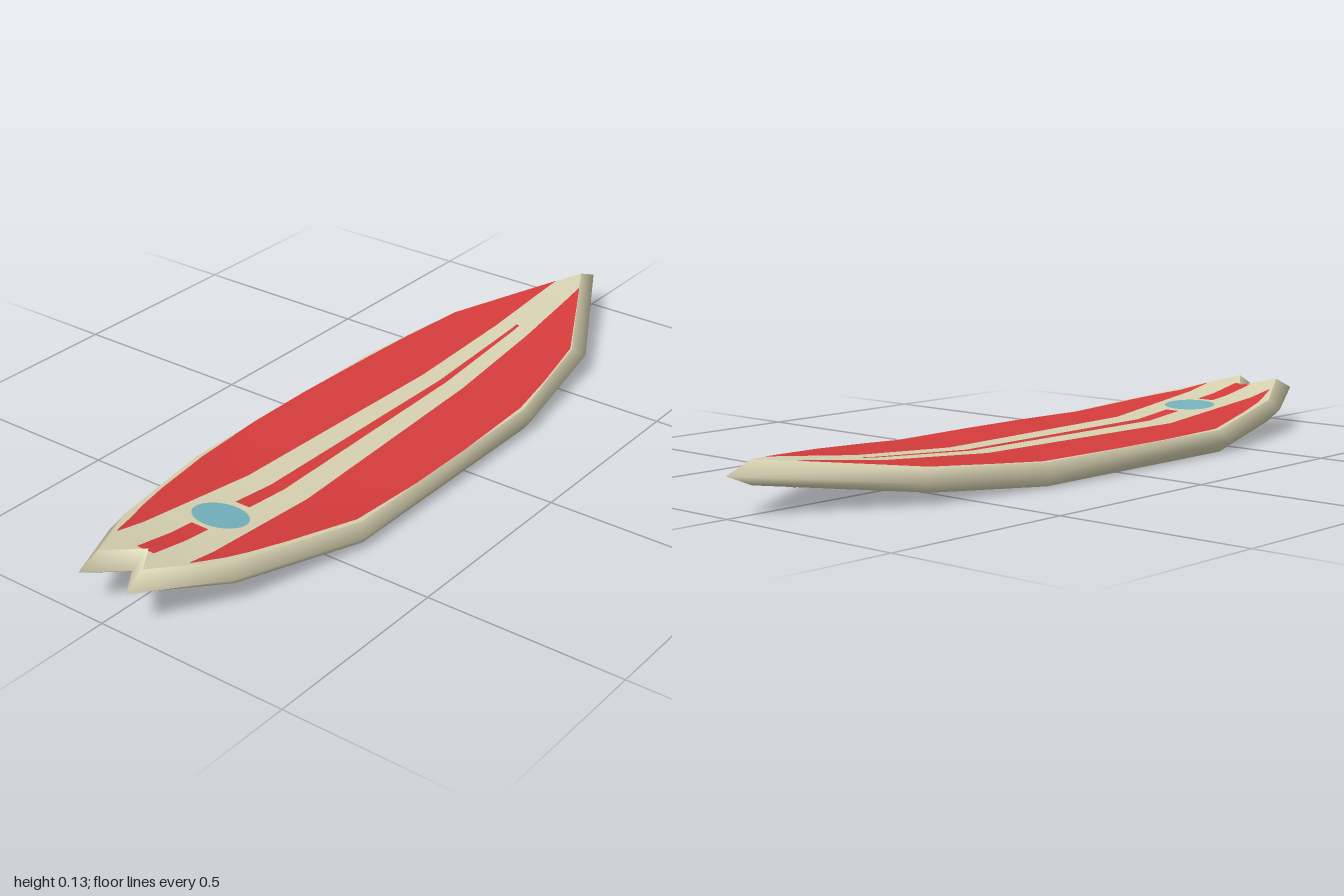
import * as THREE from 'three';

const THICKNESS = 0.057;

// Half outlines [x, z], nose to tail notch: widest rail line and deck edge
const RAIL = [[0, -1], [0.21, -0.62], [0.27, -0.27], [0.27, 0.43], [0.18, 0.78], [0.07, 0.99], [0, 0.9]];
const EDGE = [[0, -0.93], [0.19, -0.58], [0.25, -0.26], [0.25, 0.41], [0.163, 0.75], [0.063, 0.93], [0, 0.845]];

// Piecewise linear curve through [z, value] points
function curve(points) {
  return (z) => {
    if (z <= points[0][0]) return points[0][1];
    for (let i = 1; i < points.length; i++) {
      const [z0, v0] = points[i - 1], [z1, v1] = points[i];
      if (z <= z1) return v0 + (v1 - v0) * (z - z0) / (z1 - z0);
    }
    return points[points.length - 1][1];
  };
}

const rocker = curve([[-0.93, 0.063], [-0.58, 0.022], [-0.26, 0], [0.41, 0], [0.75, 0.035], [0.93, 0.068]]);
const deckEdge = curve(EDGE.slice(0, 6).map(([x, z]) => [z, x]));
const notchEdge = curve([[0.845, 0], [0.93, 0.063]]);
const BENDS = [-0.93, -0.58, -0.26, 0.41, 0.75, 0.845, 0.93];

function makeGeometry(positions, index) {
  const g = new THREE.BufferGeometry();
  g.setAttribute('position', new THREE.Float32BufferAttribute(positions, 3));
  g.setIndex(index);
  g.computeVertexNormals();
  return g;
}

// Rounded rail wrapping the whole outline
function railGeometry() {
  const mirrored = (half) => [...half, ...half.slice(1, -1).reverse().map(([x, z]) => [-x, z])];
  const rail = mirrored(RAIL), edge = mirrored(EDGE);
  const n = rail.length, positions = [], index = [];
  for (let i = 0; i < n; i++) {
    const [ex, ez] = edge[i], [rx, rz] = rail[i], y = rocker(ez);
    positions.push(ex, y, ez, rx, y + THICKNESS / 2, rz, ex, y + THICKNESS, ez);
    const a = i * 3, b = ((i + 1) % n) * 3;
    for (let k = 0; k < 2; k++) {
      index.push(a + k, a + k + 1, b + k, b + k, a + k + 1, b + k + 1);
    }
  }
  return makeGeometry(positions, index);
}

// Skin strip between two x curves; side is +1 left or -1 right, face is +1 deck or -1 underside
function skinGeometry(inner, outer, rows, side, face, lift) {
  const positions = [], index = [];
  rows.forEach((z, i) => {
    const y = rocker(z) + (face > 0 ? THICKNESS + lift : -lift);
    positions.push(side * inner(z), y, z, side * outer(z), y, z);
    if (i === 0) return;
    const a = (i - 1) * 2, b = i * 2;
    if (side * face > 0) index.push(a, b, a + 1, a + 1, b, b + 1);
    else index.push(a, a + 1, b, a + 1, b + 1, b);
  });
  return makeGeometry(positions, index);
}

// Row positions from z0 to z1, including every bend of the board
function rowsBetween(z0, z1, extra = []) {
  const inside = [...BENDS, ...extra].filter((z) => z > z0 && z < z1);
  return [...new Set([z0, ...inside, z1])].sort((a, b) => a - b);
}

export function createModel() {
  const cream = new THREE.MeshStandardMaterial({ color: 0xd8d2b2 });
  cream.name = 'cream';
  const red = new THREE.MeshStandardMaterial({ color: 0xd63c3c });
  red.name = 'red';
  const blue = new THREE.MeshStandardMaterial({ color: 0x74b2be });
  blue.name = 'blue';

  const board = new THREE.Group();
  board.name = 'surfboard';
  const rail = new THREE.Mesh(railGeometry(), cream);
  rail.name = 'rail';
  board.add(rail);

  // Red side panel boundaries
  const panelOuter = [[-0.86, 0.041], [-0.77, 0.086], [-0.58, 0.186], [-0.4, 0.22], [-0.26, 0.24], [0, 0.25],
    [0.2, 0.25], [0.41, 0.237], [0.6, 0.19], [0.7, 0.16], [0.83, 0.11]];
  const panelCurve = curve(panelOuter);

  // Oval badge, sampled evenly by angle
  const ovalRows = Array.from({ length: 25 }, (_, i) => 0.61 - 0.056 * Math.cos(i * Math.PI / 24));
  const ovalHalf = (z) => 0.073 * Math.sqrt(Math.max(0, 1 - ((z - 0.61) / 0.056) ** 2));

  const skins = [
    { name: 'skin', material: cream, rows: rowsBetween(-0.93, 0.93), inner: notchEdge, outer: deckEdge, lift: 0 },
    {
      name: 'sidePanel', material: red, lift: 0.001,
      rows: rowsBetween(-0.86, 0.83, panelOuter.map((p) => p[0])),
      inner: (z) => 0.039 + 0.04 * (z + 0.86),
      outer: (z) => Math.min(panelCurve(z), deckEdge(z)),
    },
    {
      name: 'centreStripe', material: red, lift: 0.001, rows: rowsBetween(-0.61, 0.535),
      inner: () => 0, outer: curve([[-0.61, 0.005], [0.535, 0.021]]),
    },
    {
      name: 'tailStripe', material: red, lift: 0.001, rows: rowsBetween(0.68, 0.855),
      inner: notchEdge, outer: () => 0.025,
    },
    { name: 'ovalBadge', material: blue, lift: 0.001, rows: ovalRows, inner: () => 0, outer: ovalHalf },
  ];

  // Same layout on deck and underside, mirrored left and right
  for (const face of [1, -1]) {
    const group = new THREE.Group();
    group.name = face > 0 ? 'deck' : 'underside';
    for (const s of skins) {
      for (const side of [1, -1]) {
        const mesh = new THREE.Mesh(skinGeometry(s.inner, s.outer, s.rows, side, face, s.lift), s.material);
        mesh.name = s.name + (side > 0 ? 'Left' : 'Right');
        group.add(mesh);
      }
    }
    board.add(group);
  }
  return board;
}
